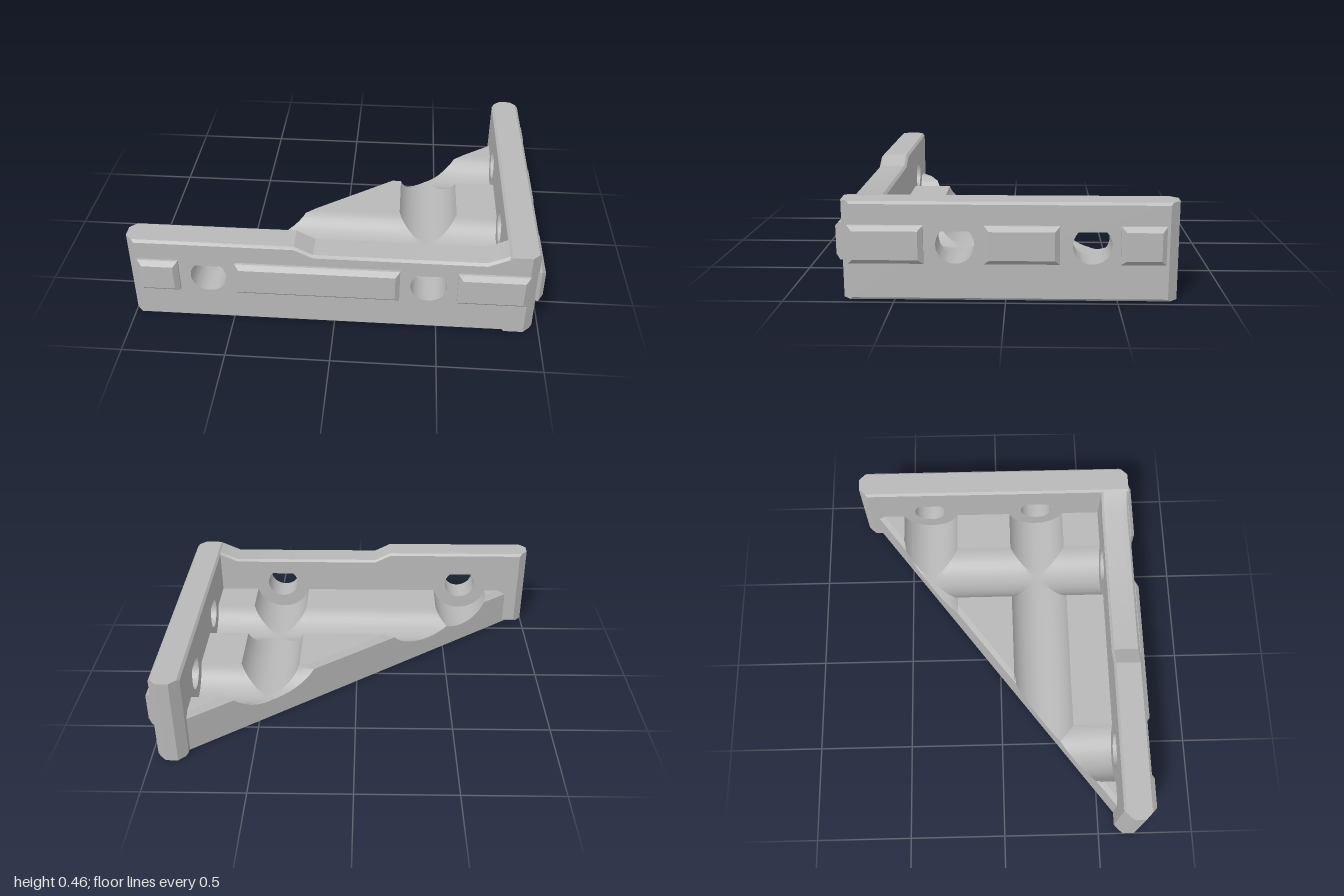
import * as THREE from 'three';
import { toCreasedNormals } from 'three/addons/utils/BufferGeometryUtils.js';

const HEIGHT = 0.455, THICK = 0.15, EDGE = 0.012, CORNER = 0.045;
const HOLE_Y = 0.26, HOLE_R = 0.087;
const GROOVE_R = 0.16, FLOOR_Y = 0.215, FLOOR_BEVEL = 0.025;
const GROOVES_X = [-0.608, 0.453]; // grooves running along z
const GROOVES_Z = [-0.385, 0.225]; // grooves running along x

// Teardrop hole: a circle with a 45 degree pointed roof
function teardrop(u) {
  const path = new THREE.Path();
  path.moveTo(u, HOLE_Y + HOLE_R * Math.SQRT2);
  path.absarc(u, HOLE_Y, HOLE_R, Math.PI * 0.75, Math.PI * 2.25, false);
  path.closePath();
  return path;
}

// Wall in (along, up, outward) space; the layers are pulled in to chamfer its edges.
// ends: [inner, outer] chamfer flags for the low and high end
function wallGeometry(outline, holes, ends) {
  const shape = new THREE.Shape(outline.map(([u, y]) => new THREE.Vector2(u, y)));
  shape.holes = holes.map(teardrop);
  const geo = new THREE.ExtrudeGeometry(shape, { depth: 5, steps: 5, bevelEnabled: false, curveSegments: 24 });
  const layers = [0, EDGE, CORNER, THICK - CORNER, THICK - EDGE, THICK];
  const us = outline.map((p) => p[0]);
  const limits = [Math.min(...us), Math.max(...us)];
  const pos = geo.attributes.position;
  for (let i = 0; i < pos.count; i++) {
    const w = layers[Math.round(pos.getZ(i))];
    const u = pos.getX(i), y = pos.getY(i);
    const trim = Math.max(0, EDGE - Math.min(w, THICK - w));
    const cut = ([inner, outer]) => Math.max(0, inner ? CORNER - w : 0, outer ? CORNER - (THICK - w) : 0);
    let nu = u;
    if (Math.abs(u - limits[0]) < 1e-5) nu += cut(ends[0]);
    if (Math.abs(u - limits[1]) < 1e-5) nu -= cut(ends[1]);
    const ny = y > 0.4 ? y - trim : y < 0.001 ? y + trim : y;
    pos.setXYZ(i, nu, ny, w);
  }
  return toCreasedNormals(geo, 0.45);
}

// Raised pad with bevelled rim on the outer face of a wall
function padGeometry(u0, u1) {
  const shape = new THREE.Shape([[u0, 0.175], [u1, 0.175], [u1, 0.35], [u0, 0.35]].map(([u, y]) => new THREE.Vector2(u, y)));
  const geo = new THREE.ExtrudeGeometry(shape, {
    depth: 0.012, bevelThickness: 0.021, bevelSize: 0.022, bevelOffset: -0.022, bevelSegments: 1,
  });
  return toCreasedNormals(geo.translate(0, 0, THICK), 0.3);
}

// Signed distance inside the sloping open side of the triangle
const inside = (p) => (p[2] + 0.075 + 0.745 * p[0]) / Math.hypot(1, 0.745);

// Keep the part of a polygon where f >= 0
function clip(poly, f) {
  const out = [];
  poly.forEach((p, i) => {
    const q = poly[(i + 1) % poly.length], a = f(p), b = f(q);
    if (a >= 0) out.push(p);
    if ((a > 0 && b < 0) || (a < 0 && b > 0)) out.push(p.map((v, k) => v + (q[k] - v) * (a / (a - b))));
  });
  return out;
}

// Triangular floor with crossing round grooves, bevelled along the open side
function floorGeometry() {
  const xMax = 0.835, zMax = 0.6, verts = [];
  const span = Math.acos((HOLE_Y - FLOOR_Y) / GROOVE_R), N = 16;
  const samples = (lo, hi, centres) => {
    const list = [lo];
    for (const c of centres) {
      for (let i = 0; i <= N; i++) list.push(c + GROOVE_R * Math.sin(span * (2 * i / N - 1)));
    }
    return [...list, hi];
  };
  const xs = samples(-0.95, xMax, GROOVES_X), zs = samples(-0.72, zMax, GROOVES_Z);
  const dip = (v, centres) => Math.min(FLOOR_Y, ...centres.map((c) => {
    const s = GROOVE_R ** 2 - (v - c) ** 2;
    return s > 0 ? HOLE_Y - Math.sqrt(s) : FLOOR_Y;
  }));
  const point = (x, z) => [x, Math.min(dip(x, GROOVES_X), dip(z, GROOVES_Z)), z];
  const tri = (a, b, c) => verts.push(...a, ...b, ...c);
  const fan = (poly) => { for (let i = 2; i < poly.length; i++) tri(poly[0], poly[i - 1], poly[i]); };
  const base = (p) => [p[0], 0, p[2]];

  const addTriangle = (t) => {
    fan(clip(t, (p) => inside(p) - FLOOR_BEVEL));
    const strip = clip(clip(t, inside), (p) => FLOOR_BEVEL - inside(p))
      .map((p) => [p[0], Math.min(p[1], FLOOR_Y - FLOOR_BEVEL + Math.max(0, inside(p))), p[2]]);
    fan(strip);
    // upright face below the open side
    strip.forEach((p, i) => {
      const q = strip[(i + 1) % strip.length];
      if (Math.abs(inside(p)) < 1e-7 && Math.abs(inside(q)) < 1e-7) {
        tri(p, base(p), base(q));
        tri(p, base(q), q);
      }
    });
  };

  for (let i = 0; i + 1 < xs.length; i++) {
    for (let j = 0; j + 1 < zs.length; j++) {
      const a = point(xs[i], zs[j]), b = point(xs[i], zs[j + 1]);
      const c = point(xs[i + 1], zs[j + 1]), d = point(xs[i + 1], zs[j]);
      // split along the higher diagonal so crossings keep a crisp ridge
      if (a[1] + c[1] >= b[1] + d[1]) { addTriangle([a, b, c]); addTriangle([a, c, d]); }
      else { addTriangle([a, b, d]); addTriangle([b, c, d]); }
    }
  }
  // underside
  tri([xMax, 0, zMax], [-(zMax + 0.075) / 0.745, 0, zMax], [xMax, 0, -0.075 - 0.745 * xMax]);

  const geo = new THREE.BufferGeometry();
  geo.setAttribute('position', new THREE.Float32BufferAttribute(verts, 3));
  return toCreasedNormals(geo, 0.45);
}

export function createModel() {
  const grey = new THREE.MeshStandardMaterial({ color: 0xb8b8b8 });
  grey.name = 'plain grey';
  const model = new THREE.Group();
  model.name = 'cornerTray';
  const add = (parent, name, geo) => {
    const mesh = new THREE.Mesh(geo, grey);
    mesh.name = name;
    parent.add(mesh);
  };

  // Long front wall with a lowered stretch of rim
  const front = new THREE.Group();
  front.name = 'frontWall';
  front.position.z = 0.585;
  add(front, 'frontWallPanel', wallGeometry(
    [[-1, 0], [0.82, 0], [0.82, HEIGHT], [0.72, 0.41], [-0.1, 0.41], [-0.19, HEIGHT], [-1, HEIGHT]],
    GROOVES_X, [[true, true], [false, false]]));
  for (const [a, b] of [[-0.945, -0.75], [-0.475, 0.315], [0.59, 0.925]]) add(front, 'frontPad', padGeometry(a, b));

  // Side wall, turned so its outer face looks along +x
  const side = new THREE.Group();
  side.name = 'sideWall';
  side.position.x = 0.82;
  side.rotation.y = Math.PI / 2;
  add(side, 'sideWallPanel', wallGeometry(
    [[-0.735, 0], [0.77, 0], [0.77, HEIGHT], [-0.735, HEIGHT]],
    GROOVES_Z.map((z) => -z), [[false, true], [true, true]]));
  for (const [a, b] of [[-0.7, -0.365], [-0.095, 0.24], [0.51, 0.71]]) add(side, 'sidePad', padGeometry(a, b));

  model.add(front, side);
  add(model, 'groovedFloor', floorGeometry());
  return model;
}
